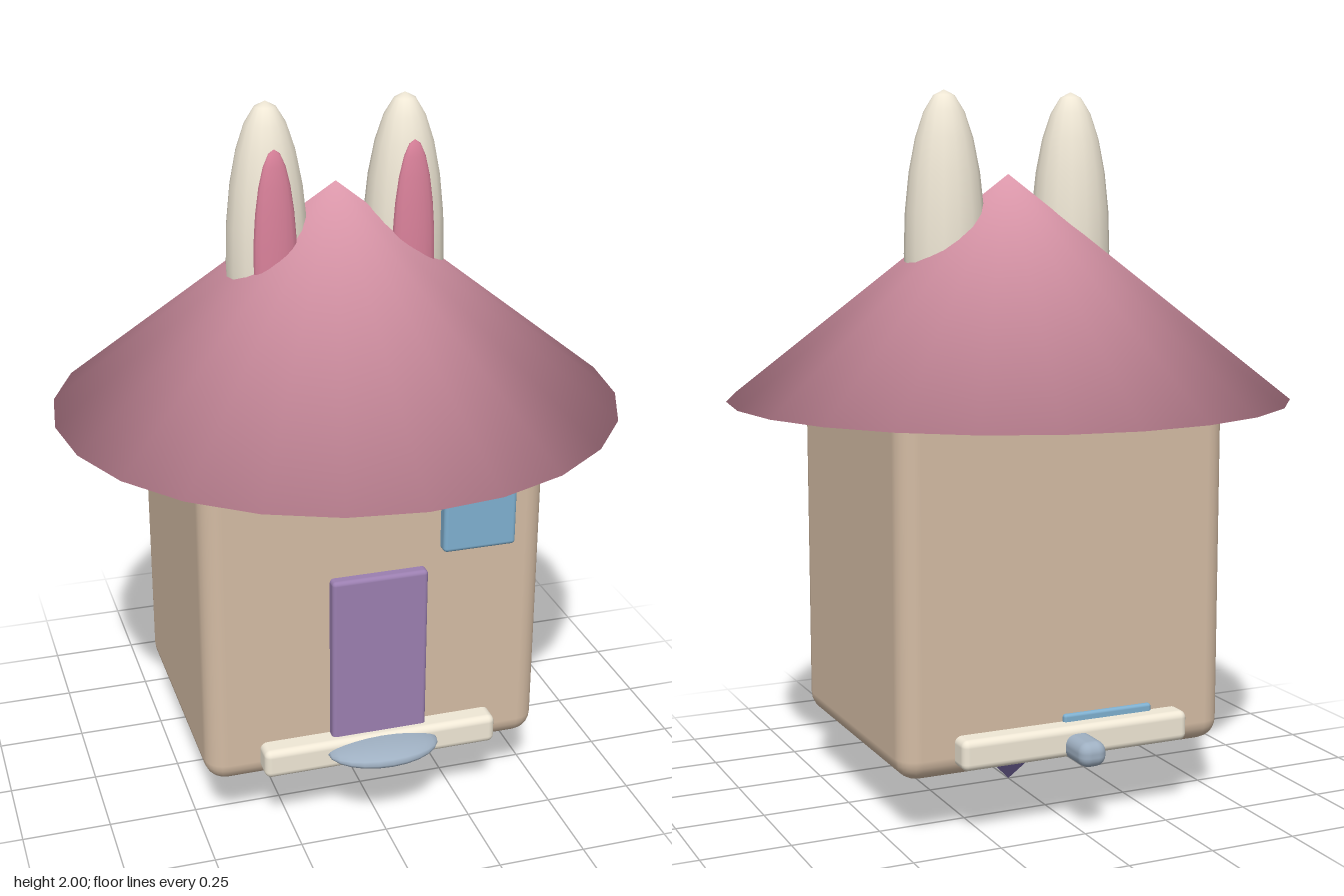
import * as THREE from 'three';
import { mergeVertices } from 'three/addons/utils/BufferGeometryUtils.js';
import { RoundedBoxGeometry } from 'three/addons/geometries/RoundedBoxGeometry.js';

const COLORS = {
  wall: 0xd4bca4, roof: 0xe8a0b4, cream: 0xf0e8d6, innerEar: 0xd9819a, glass: 0x7fb0d0,
  door: 0x9b7fb0, crystal: 0x8272b0, metal: 0x9fb0c2, eye: 0x2c3048,
};

function part(group, name, geometry, color, x, y, z, flatShading = false) {
  const mesh = new THREE.Mesh(geometry, new THREE.MeshStandardMaterial({ color: COLORS[color], flatShading }));
  mesh.name = name;
  mesh.position.set(x, y, z);
  group.add(mesh);
  return mesh;
}

const box = (w, h, d, r) => new RoundedBoxGeometry(w, h, d, 3, r);
const ellipsoid = (rx, ry, rz, ws = 16, hs = 12) => new THREE.SphereGeometry(1, ws, hs).scale(rx, ry, rz);

// Closed cone whose normals run smoothly from the tip over the rim to the underside
function softCone(radius, height, sides) {
  let g = new THREE.ConeGeometry(radius, height, sides);
  g.deleteAttribute('normal');
  g.deleteAttribute('uv');
  g = mergeVertices(g, 1e-4);
  g.computeVertexNormals();
  const p = g.attributes.position, n = g.attributes.normal;
  for (let i = 0; i < p.count; i++) {
    const r = Math.hypot(p.getX(i), p.getZ(i));
    if (r > 0.01) n.setXYZ(i, 0.945 * p.getX(i) / r, -0.327, 0.945 * p.getZ(i) / r);
  }
  return g;
}

export function createModel() {
  const model = new THREE.Group();
  model.name = 'birdhouse';

  // House body and roof
  part(model, 'body', box(0.98, 1.0, 0.8, 0.06), 'wall', 0, 0.67, 0);
  part(model, 'roof', softCone(0.8, 0.63, 24), 'roof', 0, 1.455, 0);

  // Ears and eyes, mirrored
  for (const [side, label] of [[1, 'left'], [-1, 'right']]) {
    part(model, label + 'Ear', ellipsoid(0.115, 0.45, 0.11), 'cream', side * 0.195, 1.55, 0);
    part(model, label + 'InnerEar', ellipsoid(0.062, 0.34, 0.03), 'innerEar', side * 0.195, 1.55, 0.088);
    part(model, label + 'Eye', ellipsoid(0.05, 0.07, 0.03), 'eye', side * 0.16, 1.15, 0.39);
  }

  // Face and front openings
  part(model, 'nose', ellipsoid(0.057, 0.025, 0.045), 'roof', 0, 1.007, 0.405);
  part(model, 'door', box(0.275, 0.55, 0.06, 0.012), 'door', 0, 0.5, 0.402);
  part(model, 'window', box(0.21, 0.23, 0.06, 0.012), 'glass', 0.285, 0.935, 0.402);

  // Ledges on front and back
  for (const [side, label] of [[1, 'front'], [-1, 'back']]) {
    part(model, label + 'Ledge', box(0.68, 0.085, 0.09, 0.02), 'cream', 0, 0.247, side * 0.415);
  }
  const dish = ellipsoid(0.03, 0.16, 0.1).rotateZ(Math.PI / 2);
  part(model, 'frontDish', dish, 'metal', 0, 0.255, 0.46);
  part(model, 'backKnob', box(0.08, 0.07, 0.14, 0.03), 'metal', 0, 0.235, -0.49);
  part(model, 'backPlate', box(0.27, 0.1, 0.03, 0.008), 'glass', -0.115, 0.26, -0.397);

  // Hanging crystal with its collar
  part(model, 'collar', ellipsoid(0.19, 0.045, 0.19, 20, 12), 'cream', 0, 0.17, 0);
  part(model, 'crystal', new THREE.ConeGeometry(0.145, 0.14, 6).rotateX(Math.PI), 'crystal', 0, 0.07, 0, true);

  return model;
}
